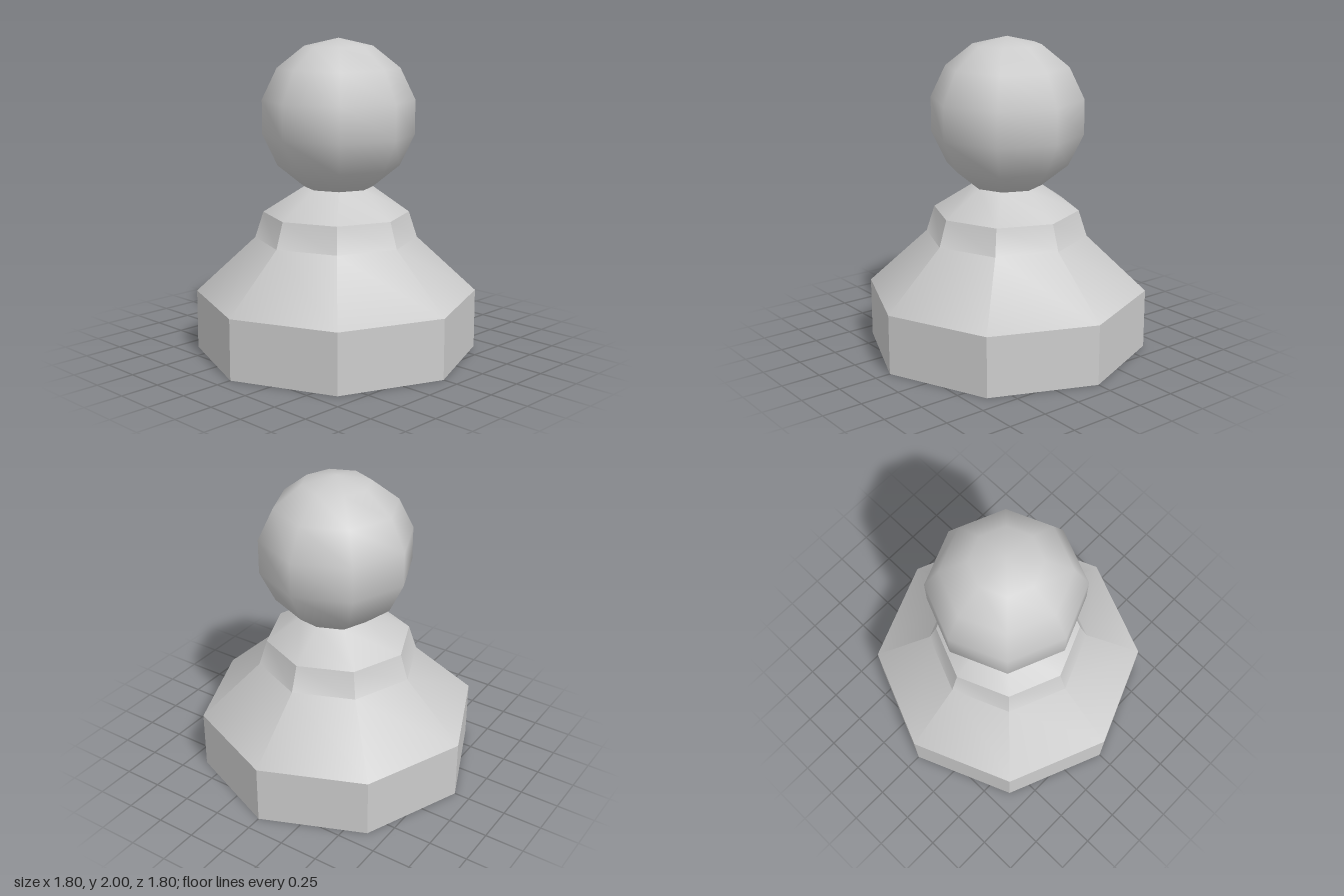
import * as THREE from 'three';
import { toCreasedNormals } from 'three/addons/utils/BufferGeometryUtils.js';

const SIDES = 8;
const HEAD = new THREE.Vector3(0.005, 1.505, -0.017);

export function createModel() {
  const model = new THREE.Group();
  model.name = 'pawn';
  const material = new THREE.MeshStandardMaterial({ color: 0xcccccc });

  // Body: octagonal foot, sloping shoulder, collar and neck in one profile
  const profile = [
    [0, 0], [0.9, 0], [0.9, 0.38], [0.518, 0.735], [0.465, 0.9], [0.22, 1.063], [0, 1.063],
  ].map(([r, y]) => new THREE.Vector2(r, y));
  const bodyGeometry = new THREE.LatheGeometry(profile, SIDES);

  // Move the neck's top ring under the slightly off-centre head
  const pos = bodyGeometry.attributes.position;
  for (let i = 0; i < pos.count; i++) {
    if (pos.getY(i) > 1) {
      pos.setX(i, pos.getX(i) + HEAD.x);
      pos.setZ(i, pos.getZ(i) + HEAD.z);
    }
  }
  const body = new THREE.Mesh(toCreasedNormals(bodyGeometry, THREE.MathUtils.degToRad(35)), material);
  body.name = 'body';

  // Head: coarse, smooth-shaded ball
  const head = new THREE.Mesh(new THREE.SphereGeometry(0.495, SIDES, 7), material);
  head.name = 'head';
  head.position.copy(HEAD);

  model.add(body, head);
  return model;
}
